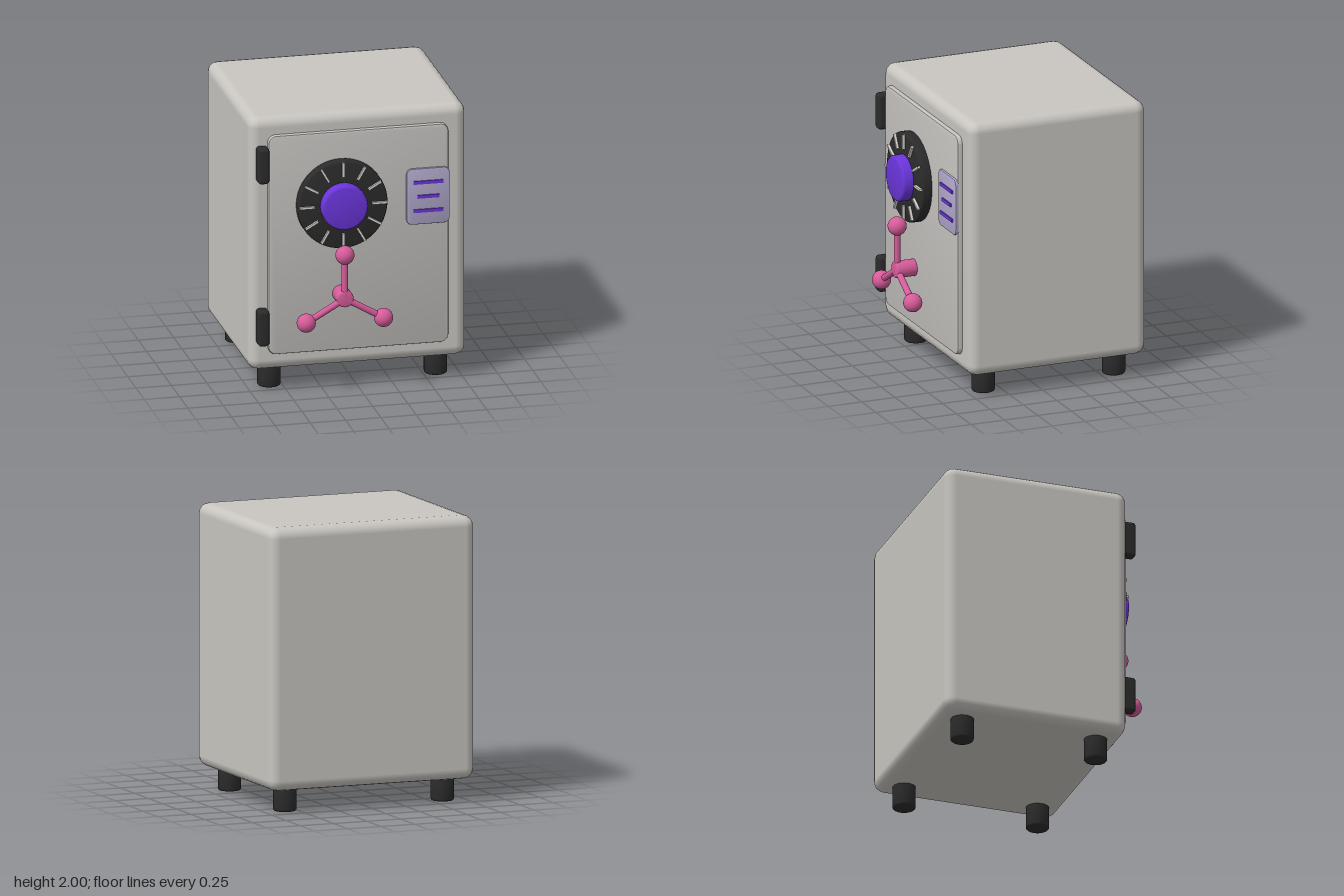
import * as THREE from 'three';
import { toCreasedNormals } from 'three/addons/utils/BufferGeometryUtils.js';
import { RoundedBoxGeometry } from 'three/addons/geometries/RoundedBoxGeometry.js';

const paint = (name, color) => {
  const m = new THREE.MeshStandardMaterial({ color });
  m.name = name;
  return m;
};

// Solid disc from y = 0 to h with rounded rims of radius b
function disc(r, h, b, sides = 40) {
  const pts = [new THREE.Vector2(0, 0)];
  for (const top of [0, 1]) {
    for (let i = 0; i <= 3; i++) {
      const a = -Math.PI / 2 + (top * 3 + i) * Math.PI / 6;
      pts.push(new THREE.Vector2(r - b + b * Math.cos(a), (top ? h - b : b) + b * Math.sin(a)));
    }
  }
  pts.push(new THREE.Vector2(0, h));
  return toCreasedNormals(new THREE.LatheGeometry(pts, sides), 0.6);
}

// Rounded rectangular plate, from z = 0 to depth, with a bevelled rim
function plate(w, h, depth, r, b) {
  const x = w / 2 - b, y = h / 2 - b, s = new THREE.Shape();
  s.absarc(x - r, y - r, r, 0, Math.PI / 2);
  s.absarc(-x + r, y - r, r, Math.PI / 2, Math.PI);
  s.absarc(-x + r, -y + r, r, Math.PI, Math.PI * 1.5);
  s.absarc(x - r, -y + r, r, Math.PI * 1.5, Math.PI * 2);
  const g = new THREE.ExtrudeGeometry(s, {
    depth: depth - 2 * b, bevelEnabled: true, bevelThickness: b, bevelSize: b, bevelSegments: 2, curveSegments: 6,
  });
  g.translate(0, 0, b);
  return toCreasedNormals(g, 0.6);
}

export function createModel() {
  const model = new THREE.Group();
  model.name = 'safe';
  const shell = paint('shell grey', 0xc9c6c1);
  const doorGrey = paint('door grey', 0xc4c1be);
  const dark = paint('dark rubber', 0x2b2b2b);
  const purple = paint('purple', 0x6a35d9);
  const lavender = paint('lavender', 0xb1a8cb);
  const pink = paint('pink', 0xd65c9a);
  const silver = paint('silver', 0xd8d6d0);

  const add = (name, geo, mat, x = 0, y = 0, z = 0, parent = model) => {
    const m = new THREE.Mesh(geo, mat);
    m.name = name;
    m.position.set(x, y, z);
    parent.add(m);
    return m;
  };

  // Cabinet and door
  add('cabinet', new RoundedBoxGeometry(1.54, 1.84, 1.33, 2, 0.075), shell, 0, 1.08, -0.112);
  add('door', plate(1.275, 1.59, 0.06, 0.045, 0.012), doorGrey, -0.003, 1.08, 0.528);

  // Feet
  const footGeo = disc(0.081, 0.18, 0.015, 28);
  for (const x of [-0.59, 0.59]) for (const z of [0.378, -0.6]) add('foot', footGeo, dark, x, 0, z);

  // Hinges
  const hingeGeo = new RoundedBoxGeometry(0.08, 0.26, 0.13, 3, 0.025);
  for (const y of [0.49, 1.67]) add('hinge', hingeGeo, dark, -0.68, y, 0.568);

  // Combination dial with twelve tick marks
  const dial = new THREE.Group();
  dial.name = 'dial';
  dial.position.set(-0.13, 1.363, 0.58);
  model.add(dial);
  add('dialRing', disc(0.318, 0.08, 0.015, 48).rotateX(Math.PI / 2), dark, 0, 0, 0, dial);
  add('dialKnob', disc(0.162, 0.13, 0.02, 40).rotateX(Math.PI / 2), purple, 0, 0, 0.027, dial);
  const tickGeo = new THREE.BoxGeometry(0.105, 0.016, 0.024).translate(0.257, 0, 0.086);
  for (let i = 0; i < 12; i++) add('tick', tickGeo, silver, 0, 0, 0, dial).rotation.z = i * Math.PI / 6;

  // Three-spoke handle
  const handle = new THREE.Group();
  handle.name = 'handle';
  handle.position.set(-0.13, 0.7, 0.58);
  model.add(handle);
  add('hub', disc(0.06, 0.157, 0.012, 28).rotateX(Math.PI / 2), pink, 0, 0, 0, handle);
  const spokeGeo = new THREE.CylinderGeometry(0.023, 0.023, 0.316, 16).translate(0, 0.158, 0.135);
  const ballGeo = new THREE.SphereGeometry(0.066, 28, 18).translate(0, 0.316, 0.135);
  for (let i = 0; i < 3; i++) {
    const a = i * Math.PI * 2 / 3;
    add('spoke', spokeGeo, pink, 0, 0, 0, handle).rotation.z = a;
    add('spokeBall', ballGeo, pink, 0, 0, 0, handle).rotation.z = a;
  }

  // Information panel with three bars
  add('panel', plate(0.305, 0.405, 0.025, 0.035, 0.006), lavender, 0.486, 1.363, 0.58);
  [0.21, 0.155, 0.21].forEach((w, i) =>
    add('panelBar', new THREE.BoxGeometry(w, 0.024, 0.014), purple, 0.486, 1.466 - i * 0.103, 0.607));

  return model;
}
